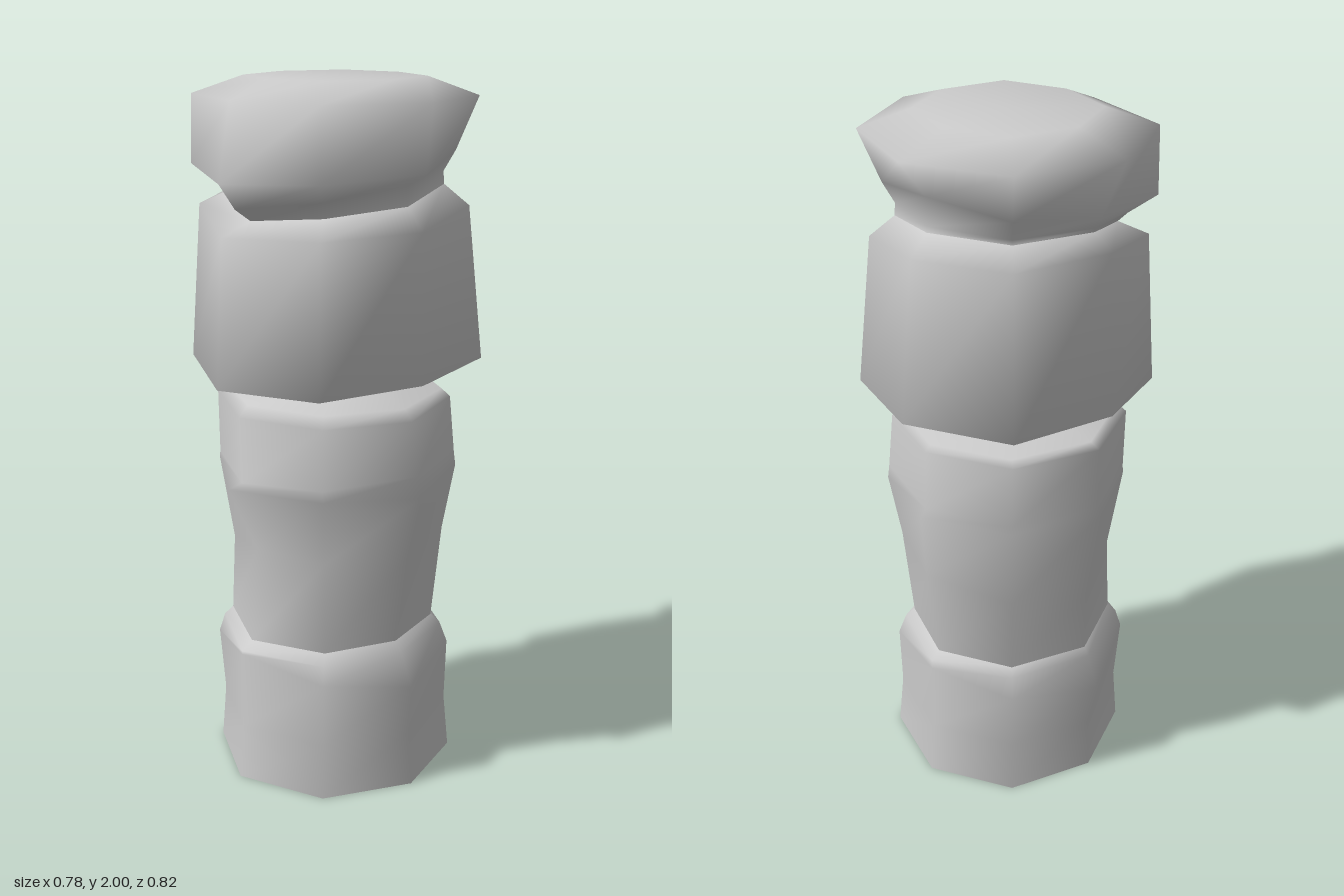
import * as THREE from 'three';

const SIDES = 8;
const material = new THREE.MeshStandardMaterial({ color: 0xcccccc });

// Expand [front, left, back, right] to eight values; diagonals are averages.
function around(v) {
  if (typeof v === 'number') return Array(SIDES).fill(v);
  if (v.length === SIDES) return v;
  return Array.from({ length: SIDES }, (_, i) => {
    const a = v[i >> 1], b = v[((i >> 1) + 1) % 4];
    return i % 2 ? (a + b) / 2 : a;
  });
}

// Smooth eight-sided skin through rings of [heights, radii], listed bottom to top.
function carvedBlock(name, rings, closedTop = false) {
  const pos = [], index = [];
  for (const [heights, radii] of rings) {
    const y = around(heights), r = around(radii);
    for (let i = 0; i < SIDES; i++) {
      const a = (i / SIDES) * Math.PI * 2;
      pos.push(Math.sin(a) * r[i], y[i], Math.cos(a) * r[i]);
    }
  }
  for (let k = 0; k < rings.length - 1; k++) {
    for (let i = 0; i < SIDES; i++) {
      const j = (i + 1) % SIDES, a = k * SIDES + i, b = k * SIDES + j;
      index.push(a, b, b + SIDES, a, b + SIDES, a + SIDES);
    }
  }
  if (closedTop) {
    const start = (rings.length - 1) * SIDES, centre = pos.length / 3;
    pos.push(0, 2, 0);
    for (let i = 0; i < SIDES; i++) index.push(start + i, start + ((i + 1) % SIDES), centre);
  }
  const geometry = new THREE.BufferGeometry();
  geometry.setAttribute('position', new THREE.Float32BufferAttribute(pos, 3));
  geometry.setIndex(index);
  geometry.computeVertexNormals();
  const mesh = new THREE.Mesh(geometry, material);
  mesh.name = name;
  return mesh;
}

export function createModel() {
  const group = new THREE.Group();
  group.name = 'carvedPole';

  // Base block
  const foot = [0.36, 0.35, 0.345, 0.34];
  const waist = [[0.425, 0.43, 0.43, 0.435], [0.31, 0.275, 0.3, 0.31]];
  group.add(carvedBlock('base', [
    [0, foot],
    [0.16, [0.345, 0.335, 0.33, 0.33]],
    [[0.39, 0.31, 0.38, 0.31], [0.345, 0.345, 0.33, 0.36]],
    [[0.4, 0.4, 0.41, 0.41], [0.345, 0.3, 0.33, 0.325]],
    waist,
  ]));

  // Underside
  const sole = new THREE.Shape(around(foot).map((r, i) => {
    const a = (i / SIDES) * Math.PI * 2;
    return new THREE.Vector2(Math.sin(a) * r, -Math.cos(a) * r);
  }));
  const underside = new THREE.Mesh(new THREE.ShapeGeometry(sole), material);
  underside.rotation.x = Math.PI / 2;
  underside.scale.y = -1;
  underside.material = material.clone();
  underside.material.side = THREE.DoubleSide;
  underside.name = 'underside';
  // Rotating maps shape y to z, so the mirrored outline lands on the base ring
  group.add(underside);

  // Lower figure with a snout jutting out at the front
  const gap = [[1.155, 1.165, 1.145, 1.155], 0.19];
  group.add(carvedBlock('lowerFigure', [
    waist,
    [[0.7, 0.7, 0.72, 0.62], [0.285, 0.3, 0.32, 0.315, 0.34, 0.325, 0.31, 0.3]],
    [[0.9, 0.89, 0.92, 0.92], [0.38, 0.34, 0.37, 0.35, 0.355, 0.35, 0.355, 0.34]],
    [[0.91, 0.95, 0.94, 0.94], [0.335, 0.355, 0.335, 0.34]],
    [[1.1, 1.1, 1.12, 1.12], [0.34, 0.33, 0.33, 0.34]],
    [[1.13, 1.13, 1.135, 1.135], [0.31, 0.3, 0.31, 0.31]],
    gap,
  ]));

  // Upper figure, a wide barrel leaning in towards the top
  const neck = [[1.635, 1.68, 1.745, 1.74], [0.29, 0.3, 0.3, 0.3]];
  group.add(carvedBlock('upperFigure', [
    gap,
    [[1.19, 1.21, 1.24, 1.24], [0.41, 0.42, 0.37, 0.415, 0.41, 0.415, 0.38, 0.41]],
    [[1.6, 1.62, 1.69, 1.7], [0.385, 0.38, 0.36, 0.37, 0.36, 0.37, 0.36, 0.38]],
    neck,
  ]));

  // Head with a pointed chin and flat crown
  group.add(carvedBlock('head', [
    neck,
    [[1.67, 1.735, 1.76, 1.75], [0.34, 0.3, 0.295, 0.3]],
    [[1.74, 1.77, 1.84, 1.78], [0.39, 0.39, 0.37, 0.33, 0.3, 0.32, 0.32, 0.4]],
    [1.95, [0.35, 0.375, 0.39, 0.39, 0.388, 0.39, 0.395, 0.395]],
    [2, [0.23, 0.25, 0.24, 0.25, 0.23, 0.25, 0.24, 0.25]],
  ], true));

  return group;
}
